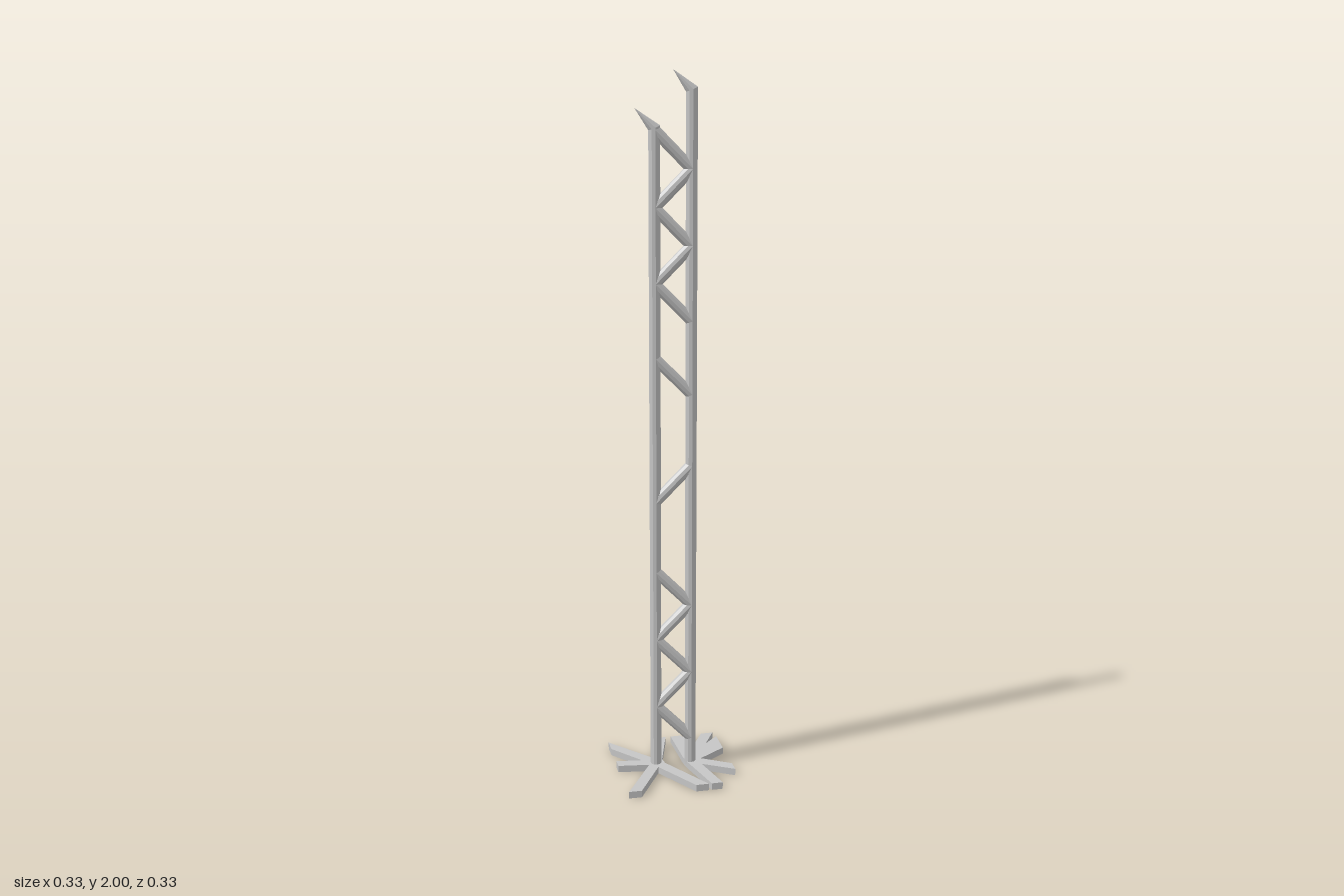
import * as THREE from 'three';

const grey = new THREE.MeshStandardMaterial({ color: 0xc6c6c6 });
grey.name = 'lightGrey';

const R = 0.016;
const MITRE = Math.tan(Math.PI / 8);
const LEFT_POLE = { x: 0.05, z: 0.002 };
const RIGHT_POLE = { x: -0.052, z: -0.003 };

// Faceted bar between two points; each end is cut at its own mitre slope
function bar(name, a, b, lowSlope, highSlope, highRadius = R) {
  const low = new THREE.Vector3(...a), high = new THREE.Vector3(...b);
  const geo = new THREE.CylinderGeometry(highRadius, R, 1, 10).toNonIndexed();
  const pos = geo.attributes.position;
  const c = new THREE.Vector3();
  for (let i = 0; i < pos.count; i++) {
    const x = pos.getX(i), isHigh = pos.getY(i) > 0;
    c.copy(isHigh ? high : low);
    pos.setXYZ(i, c.x + x, c.y + x * (isHigh ? highSlope : lowSlope), c.z + pos.getZ(i));
  }
  geo.computeVertexNormals();
  const mesh = new THREE.Mesh(geo, grey);
  mesh.name = name;
  return mesh;
}

// Flat foot plate from an outline of [x, z] corners
function foot(name, outline) {
  const shape = new THREE.Shape(outline.map(([x, z]) => new THREE.Vector2(x, -z)));
  const geo = new THREE.ExtrudeGeometry(shape, { depth: 0.02, bevelEnabled: false });
  geo.rotateX(-Math.PI / 2);
  const mesh = new THREE.Mesh(geo, grey);
  mesh.name = name;
  return mesh;
}

export function createModel() {
  const group = new THREE.Group();
  group.name = 'latticeMast';

  // Two uprights, each ending in a slanted point
  for (const [side, p, top, tip] of [
    ['left', LEFT_POLE, 1.95, [0, 2, 0.001]],
    ['right', RIGHT_POLE, 1.85, [-0.104, 1.9, -0.004]],
  ]) {
    group.add(bar(side + 'Pole', [p.x, 0.01, p.z], [p.x, top, p.z], 0, MITRE));
    group.add(bar(side + 'Tip', [p.x, top, p.z], tip, MITRE, MITRE, 0.0005));
  }

  // Zigzag braces; some bays are left open
  const open = [5, 6, 8, 9, 11];
  const node = (k) => {
    const p = k % 2 ? RIGHT_POLE : LEFT_POLE;
    return [p.x, 0.097 + 0.1028 * k, p.z];
  };
  for (let k = 0; k < 17; k++) {
    if (open.includes(k)) continue;
    const slope = k % 2 ? -MITRE : MITRE;
    group.add(bar('brace' + k, node(k), node(k + 1), slope, slope));
  }

  // Root-like feet, cut off along a square
  group.add(foot('rightFoot', [
    [-0.165, -0.165], [-0.058, -0.037], [-0.02, -0.165], [0.012, -0.165],
    [-0.03, -0.02], [-0.027, 0.006], [0.067, 0.164], [0.03, 0.164],
    [-0.052, 0.029], [-0.128, 0.164], [-0.165, 0.164], [-0.075, 0.009],
    [-0.165, -0.003], [-0.165, -0.035], [-0.09, -0.025], [-0.165, -0.119],
  ]));
  group.add(foot('leftFoot', [
    [0.028, -0.165], [0.06, -0.165], [0.063, -0.152], [0.066, -0.165],
    [0.098, -0.165], [0.086, -0.099], [0.124, -0.165], [0.16, -0.165],
    [0.122, -0.095], [0.165, -0.137], [0.165, -0.055], [0.083, 0],
    [0.165, 0.052], [0.165, 0.09], [0.077, 0.037], [0.108, 0.164],
    [0.076, 0.164], [0.037, 0.01], [0.033, -0.02],
  ]));
  return group;
}
